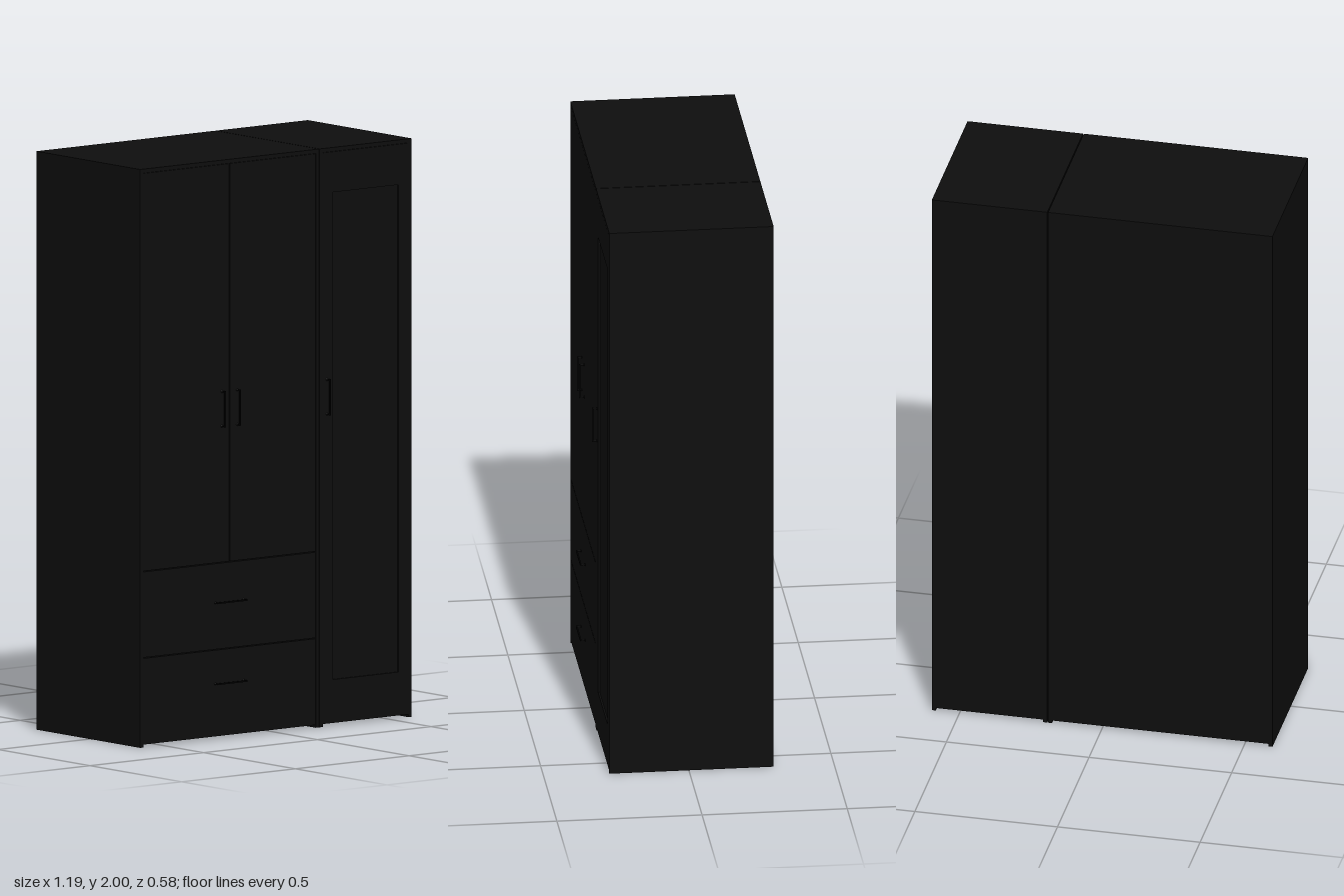
import * as THREE from 'three';

const finish = new THREE.MeshStandardMaterial({ color: 0x0d0d0d });
const metal = new THREE.MeshStandardMaterial({ color: 0x020202 });

const H = 2, BACK = -0.292, FRONT = 0.274, T = 0.014, FLOOR = 0.01, GAP = 0.003;

// Box given by its limits on each axis
function slab(name, x0, x1, y0, y1, z0, z1, material = finish) {
  const mesh = new THREE.Mesh(new THREE.BoxGeometry(x1 - x0, y1 - y0, z1 - z0), material);
  mesh.position.set((x0 + x1) / 2, (y0 + y1) / 2, (z0 + z1) / 2);
  mesh.name = name;
  return mesh;
}

// Open carcass: sides reach the ground, the floor board sits slightly higher
function carcass(name, x0, x1) {
  const g = new THREE.Group();
  g.name = name;
  g.add(
    slab('sidePanelRight', x0, x0 + T, 0, H, BACK, FRONT),
    slab('sidePanelLeft', x1 - T, x1, 0, H, BACK, FRONT),
    slab('topBoard', x0 + T, x1 - T, H - T, H, BACK, FRONT),
    slab('floorBoard', x0 + T, x1 - T, FLOOR, FLOOR + T, BACK, FRONT - T),
    slab('backPanel', x0 + T, x1 - T, FLOOR + T, H - T, BACK, BACK + 0.006)
  );
  return g;
}

// Bow handle: a thin bar on two posts with small flared feet
function handle(name, x, y, length, upright) {
  const g = new THREE.Group();
  g.name = name;
  const r = 0.0025, reach = 0.292 - FRONT;
  const bar = new THREE.Mesh(new THREE.BoxGeometry(length, 2 * r, 2 * r), metal);
  bar.position.z = reach - r;
  bar.name = 'bar';
  g.add(bar);
  for (const s of [-1, 1]) {
    const post = new THREE.Mesh(new THREE.CylinderGeometry(r, r, reach - r, 8), metal);
    post.rotation.x = Math.PI / 2;
    post.position.set(s * (length / 2 - r), 0, (reach - r) / 2);
    post.name = 'post';
    const foot = new THREE.Mesh(new THREE.CylinderGeometry(r, r * 2, 0.004, 8), metal);
    foot.rotation.x = Math.PI / 2;
    foot.position.set(s * (length / 2 - r), 0, 0.002);
    foot.name = 'foot';
    g.add(post, foot);
  }
  if (upright) g.rotation.z = Math.PI / 2;
  g.position.set(x, y, FRONT);
  return g;
}

// Door frame with a sunken centre panel
function framedDoor(x0, x1, y0, y1, inset) {
  const g = new THREE.Group();
  g.name = 'framedDoor';
  const rect = (Path, a, b, c, d) => new Path([[a, c], [b, c], [b, d], [a, d]].map(p => new THREE.Vector2(...p)));
  const shape = rect(THREE.Shape, x0, x1, y0, y1);
  shape.holes.push(rect(THREE.Path, inset.x0, inset.x1, inset.y0, inset.y1));
  const frame = new THREE.Mesh(new THREE.ExtrudeGeometry(shape, { depth: T, bevelEnabled: false }), finish);
  frame.position.z = FRONT - T;
  frame.name = 'doorFrame';
  g.add(frame, slab('doorPanel', inset.x0, inset.x1, inset.y0, inset.y1, FRONT - T, FRONT - 0.006));
  return g;
}

export function createModel() {
  const model = new THREE.Group();
  model.name = 'wardrobe';

  // Wide unit: two doors over two drawers
  const wide = carcass('wideUnit', -0.597, 0.1895);
  const a = -0.597 + T + 0.001, b = 0.1895 - T - 0.001, mid = (a + b) / 2;
  const top = H - T - 0.001, z0 = FRONT - T;
  wide.add(
    slab('doorRight', a, mid - GAP / 2, 0.61, top, z0, FRONT),
    slab('doorLeft', mid + GAP / 2, b, 0.61, top, z0, FRONT),
    handle('doorHandleRight', -0.237, 1.14, 0.125, true),
    handle('doorHandleLeft', -0.17, 1.14, 0.125, true),
    slab('middleShelf', a, b, 0.6, 0.6 + T, BACK + 0.006, z0)
  );
  [[FLOOR, 0.308, 0.192], [0.311, 0.607, 0.472]].forEach(([y0, y1, hy]) => {
    wide.add(slab('drawerFront', a, b, y0, y1, z0, FRONT), handle('drawerHandle', mid, hy, 0.13, false));
  });

  // Narrow unit: one framed door
  const narrow = carcass('narrowUnit', 0.1925, 0.597);
  narrow.add(
    framedDoor(0.1925 + T + 0.001, 0.597 - T - 0.001, FLOOR, top, { x0: 0.252, x1: 0.54, y0: 0.16, y1: 1.845 }),
    handle('doorHandle', 0.225, 1.14, 0.125, true)
  );

  model.add(wide, narrow);
  return model;
}
